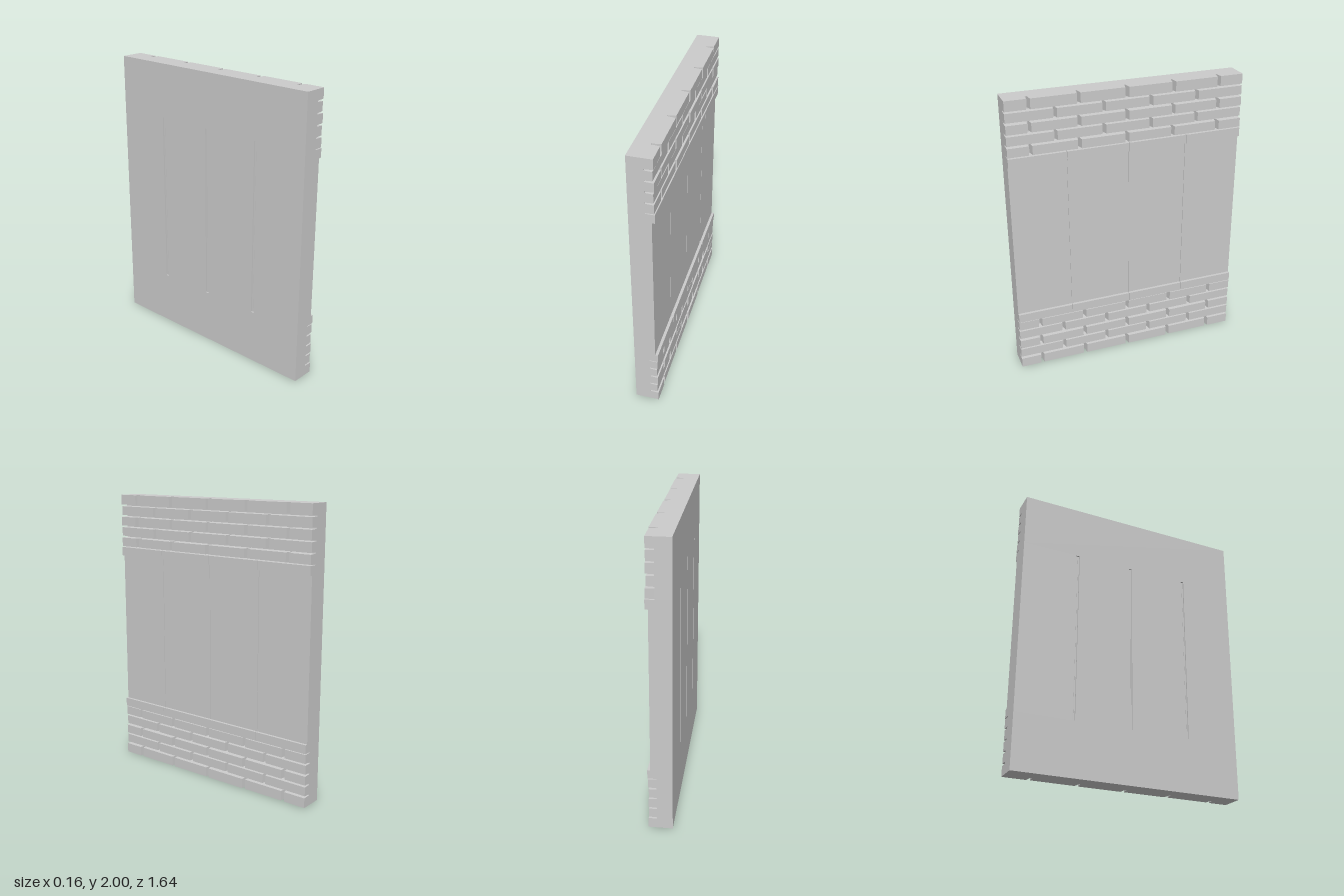
import * as THREE from 'three';

const BACK = -0.085, MORTAR = 0.02, PANEL = 0.06, TRIM = 0.08;
const HALF = 0.82, HEIGHT = 2, BAND = 0.382, ROWS = 5;
const material = new THREE.MeshStandardMaterial({ color: 0xcccccc, flatShading: true });

function addMesh(parent, name, geometry) {
  const mesh = new THREE.Mesh(geometry, material);
  mesh.name = name;
  parent.add(mesh);
  return mesh;
}

function addBox(parent, name, x0, x1, y0, y1, z0, z1) {
  const geometry = new THREE.BoxGeometry(x1 - x0, y1 - y0, z1 - z0);
  geometry.translate((x0 + x1) / 2, (y0 + y1) / 2, (z0 + z1) / 2);
  return addMesh(parent, name, geometry);
}

// Brick whose inner edges taper toward the face; edges on the wall outline stay flush
function addBrick(parent, y0, y1, z0, z1, face) {
  const mesh = addBox(parent, 'brick', MORTAR - 0.01, face, y0, y1, z0, z1);
  const p = mesh.geometry.attributes.position;
  const midY = (y0 + y1) / 2, midZ = (z0 + z1) / 2;
  for (let i = 0; i < p.count; i++) {
    const front = p.getX(i) > MORTAR;
    const y = p.getY(i), z = p.getZ(i);
    const atOutline = y < 0.001 || y > HEIGHT - 0.001;
    if (!atOutline) p.setY(i, y + Math.sign(midY - y) * (front ? 0.007 : 0.004));
    if (Math.abs(z) < HALF - 0.001) p.setZ(i, z + Math.sign(midZ - z) * (front ? 0.013 : 0.003));
  }
  mesh.geometry.computeVertexNormals();
}

// Band of running-bond brickwork on a solid backing
function brickBand(name, bottom) {
  const band = new THREE.Group();
  band.name = name;
  addBox(band, 'backing', BACK, MORTAR, bottom, bottom + BAND, -HALF, HALF);
  const rowHeight = BAND / ROWS;
  for (let row = 0; row < ROWS; row++) {
    const even = row % 2 === 0;
    const joints = even ? [-0.645, -0.317, 0.011, 0.339, 0.667] : [-0.487, -0.159, 0.169, 0.497];
    const edges = [-HALF, ...joints, HALF];
    for (let i = 0; i < edges.length - 1; i++) {
      const face = (even ? 0.076 : 0.071) + 0.002 * Math.sin(row * 2.3 + i * 4.1 + bottom);
      addBrick(band, bottom + row * rowHeight, bottom + (row + 1) * rowHeight, edges[i], edges[i + 1], face);
    }
  }
  return band;
}

// Upright panel: hairline joint at the front, shallow wider rebate at the back
function addPanel(parent, z0, z1) {
  const a0 = z0 > -HALF ? 0.002 : 0, a1 = z1 < HALF ? 0.002 : 0;
  const b0 = a0 * 6, b1 = a1 * 6;
  const outline = [
    [PANEL, z0 + a0], [PANEL, z1 - a1],
    [BACK + 0.01, z1 - a1], [BACK + 0.01, z1 - b1], [BACK, z1 - b1],
    [BACK, z0 + b0], [BACK + 0.01, z0 + b0], [BACK + 0.01, z0 + a0],
  ].map(([x, z]) => new THREE.Vector2(x, -z));
  const geometry = new THREE.ExtrudeGeometry(new THREE.Shape(outline), {
    depth: HEIGHT - 2 * BAND, bevelEnabled: false,
  });
  geometry.rotateX(-Math.PI / 2);
  geometry.translate(0, BAND, 0);
  addMesh(parent, 'panel', geometry);
}

export function createModel() {
  const wall = new THREE.Group();
  wall.name = 'wallSection';
  wall.add(brickBand('lowerBricks', 0), brickBand('upperBricks', HEIGHT - BAND));

  // Smooth panels and the trim strips above and below them
  const panels = new THREE.Group(), trims = new THREE.Group();
  panels.name = 'panels';
  trims.name = 'trimStrips';
  wall.add(panels, trims);
  const edges = [-HALF, -0.416, -0.003, 0.428, HALF];
  for (let i = 0; i < edges.length - 1; i++) {
    const z0 = edges[i], z1 = edges[i + 1];
    addPanel(panels, z0, z1);
    const t0 = i > 0 ? z0 + 0.0015 : z0, t1 = i < 3 ? z1 - 0.0015 : z1;
    for (const y of [BAND, HEIGHT - BAND - 0.062]) {
      addBox(trims, 'trimStrip', PANEL - 0.005, TRIM, y, y + 0.062, t0, t1);
    }
  }
  // Core closing the panel joints
  addBox(wall, 'core', BACK + 0.012, PANEL - 0.006, BAND, HEIGHT - BAND, -HALF + 0.01, HALF - 0.01);
  return wall;
}
